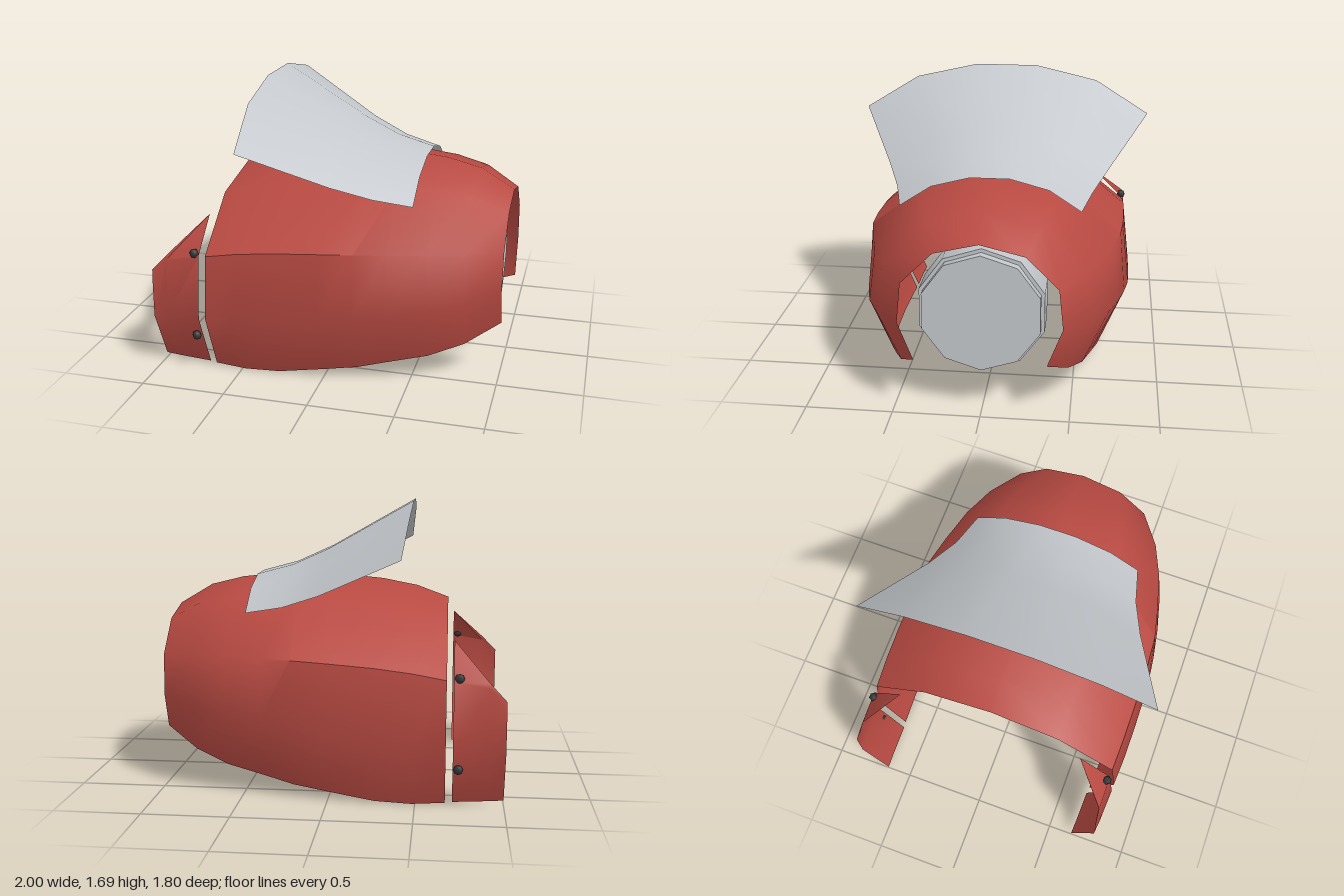
import * as THREE from 'three';
import { toCreasedNormals } from 'three/addons/utils/BufferGeometryUtils.js';

// Skin a sheet across sections, each a list of [x, y, z] running from +z to -z
function loft(sections) {
  const n = sections[0].length, index = [];
  for (let i = 0; i < sections.length - 1; i++)
    for (let j = 0; j < n - 1; j++) {
      const a = i * n + j, b = a + n;
      index.push(a, b, b + 1, a, b + 1, a + 1);
    }
  const geo = new THREE.BufferGeometry();
  geo.setAttribute('position', new THREE.Float32BufferAttribute(sections.flat(2), 3));
  geo.setIndex(index);
  geo.computeVertexNormals();
  return geo;
}

// Complete a +z half section with its mirror image
const mirrored = (half, centre = []) =>
  [...half, ...centre, ...half.map(([x, y, z]) => [x, y, -z]).reverse()];

export function createModel() {
  const group = new THREE.Group();
  const red = new THREE.MeshStandardMaterial({ color: 0xb84a42, side: THREE.DoubleSide });
  const grey = new THREE.MeshStandardMaterial({ color: 0xc4c8cc, side: THREE.DoubleSide });
  const dark = new THREE.MeshStandardMaterial({ color: 0x333537 });
  const add = (name, geo, mat) => {
    const mesh = new THREE.Mesh(geo, mat);
    mesh.name = name;
    group.add(mesh);
    return mesh;
  };

  // Shell: x, top y, then z,y of the upper, shoulder, flank and bottom rows
  const shell = [
    [-0.67, 1.10, 0.42, 1.02, 0.77, 0.74, 0.81, 0.36, 0.665, 0.01],
    [-0.48, 1.17, 0.425, 1.07, 0.775, 0.775, 0.82, 0.385, 0.675, 0],
    [-0.27, 1.21, 0.425, 1.105, 0.775, 0.80, 0.82, 0.40, 0.675, 0.01],
    [0, 1.235, 0.425, 1.13, 0.77, 0.82, 0.815, 0.42, 0.655, 0.05],
    [0.2, 1.24, 0.42, 1.14, 0.755, 0.83, 0.79, 0.45, 0.635, 0.08],
    [0.38, 1.235, 0.405, 1.14, 0.715, 0.83, 0.757, 0.47, 0.60, 0.12],
    [0.6, 1.21, 0.37, 1.125, 0.655, 0.83, 0.70, 0.50, 0.555, 0.165],
    [0.8, 1.16, 0.325, 1.085, 0.57, 0.82, 0.615, 0.53, 0.48, 0.23],
    [1, 1.04, 0.25, 0.98, 0.43, 0.80, 0.455, 0.565, 0.37, 0.34],
  ].map(([x, top, ...p]) =>
    mirrored([6, 4, 2, 0].map(k => [x, p[k + 1], p[k]]), [[x, top, 0]]));
  add('shell', toCreasedNormals(loft(shell), 0.7), red);

  // Rear side flaps with a sloping top edge
  const flap = [
    [[-1, 0.03, 0.65], [-1, 0.34, 0.79], [-1, 0.56, 0.785], [-1, 0.63, 0.78]],
    [[-0.91, 0.025, 0.655], [-0.91, 0.35, 0.80], [-0.91, 0.70, 0.772], [-0.91, 0.725, 0.765]],
    [[-0.71, 0.015, 0.66], [-0.71, 0.36, 0.81], [-0.71, 0.735, 0.77], [-0.71, 0.93, 0.57]],
  ];
  const flapRight = flap.map(s => s.map(([x, y, z]) => [x, y, -z]).reverse());
  add('flapLeft', toCreasedNormals(loft(flap), 0.7), red);
  add('flapRight', toCreasedNormals(loft(flapRight), 0.7), red);

  // Bolts on the flaps
  for (const side of [1, -1])
    for (const [y, z] of [[0.75, 0.76], [0.24, 0.78]])
      add('bolt', new THREE.SphereGeometry(0.028, 6, 4), dark).position.set(-0.74, y, side * z);

  // Flared visor
  const visor = [
    [[-0.42, 1.405, 0.9], [-0.45, 1.605, 0.57], [-0.46, 1.69, 0.19]],
    [[0.05, 1.18, 0.67], [0.05, 1.33, 0.42], [0.05, 1.40, 0.14]],
    [[0.27, 1.10, 0.58], [0.27, 1.235, 0.37], [0.27, 1.30, 0.12]],
    [[0.49, 1.058, 0.525], [0.49, 1.18, 0.34], [0.49, 1.24, 0.115]],
  ].map(half => mirrored(half));
  add('visor', loft(visor), grey);

  // Ten-sided nozzle with a smaller end disc
  for (const [name, r, x0, x1] of [['nozzle', 0.367, 0.68, 0.89], ['nozzleDisc', 0.345, 0.89, 0.94]]) {
    const geo = new THREE.CylinderGeometry(r, r, x1 - x0, 10);
    geo.rotateY(Math.PI / 2).rotateZ(-Math.PI / 2);
    add(name, geo, grey).position.set((x0 + x1) / 2, 0.608, 0);
  }
  return group;
}
